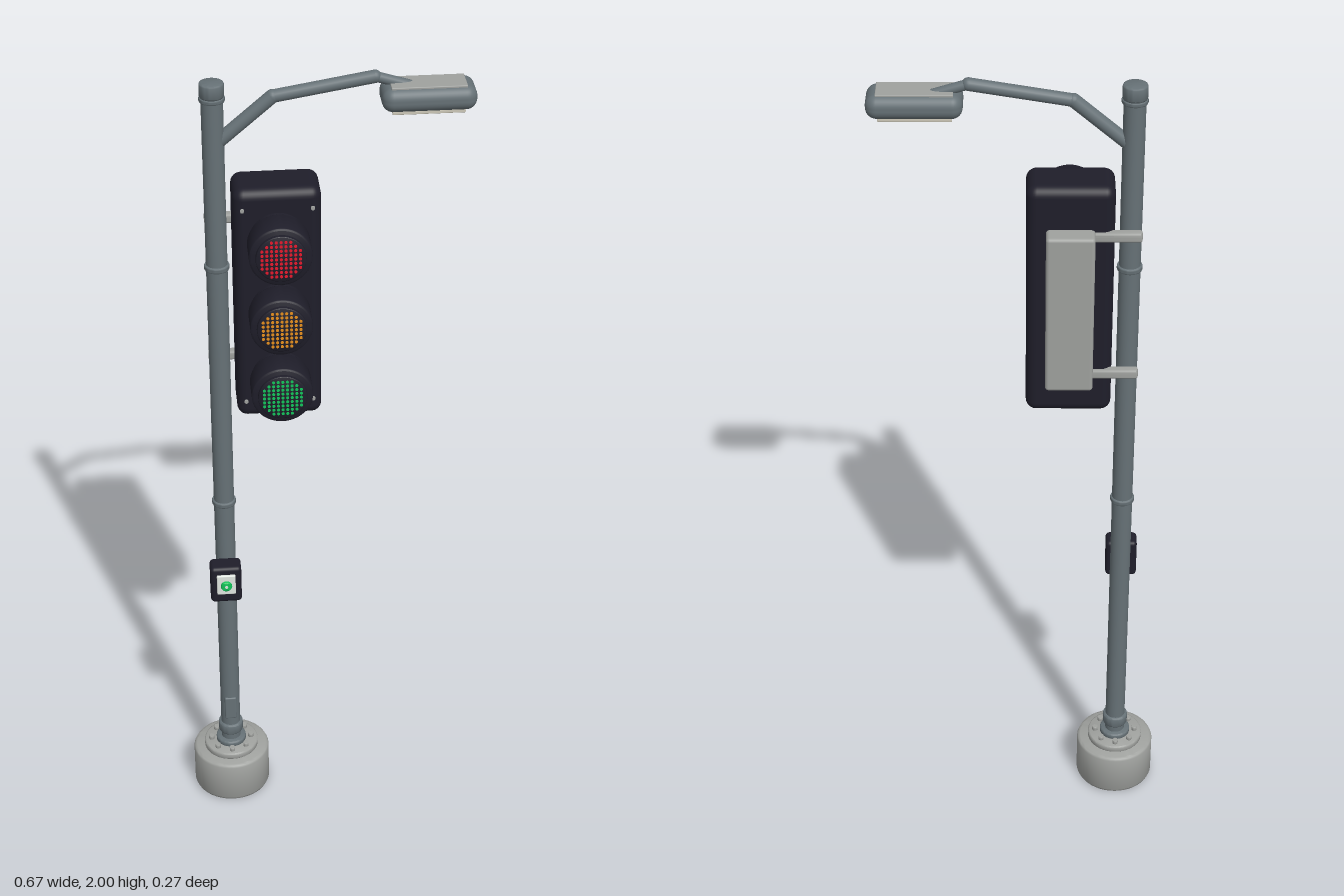
import * as THREE from 'three';
import { mergeGeometries, toCreasedNormals } from 'three/addons/utils/BufferGeometryUtils.js';
import { RoundedBoxGeometry } from 'three/addons/geometries/RoundedBoxGeometry.js';

const mat = (name, color) => new THREE.MeshStandardMaterial({ name, color });

export function createModel() {
  const model = new THREE.Group();
  model.name = 'trafficLight';
  const steel = mat('steel', 0x667176);
  const pale = mat('paleGrey', 0x9fa19e);
  const dark = mat('darkHousing', 0x1f1e2a);
  const red = mat('redLamp', 0xe8182c);
  const amber = mat('amberLamp', 0xf2961e);
  const green = mat('greenLamp', 0x12c45a);
  const diffuser = mat('diffuser', 0xcdc8b8);
  const white = mat('whitePlate', 0xe6ece6);

  const PX = -0.239, PZ = -0.038; // pole axis
  const SX = -0.105; // signal centre

  const add = (name, geo, material, x = 0, y = 0, z = 0, parent = model) => {
    const m = new THREE.Mesh(geo, material);
    m.name = name;
    m.position.set(x, y, z);
    parent.add(m);
    return m;
  };
  const box = (w, h, d, r) => new RoundedBoxGeometry(w, h, d, 4, r);
  // Disc or drum with bevelled rims, standing on its own origin
  const drum = (r, h, b, seg = 40) => toCreasedNormals(new THREE.LatheGeometry(
    [[0, 0], [r - b, 0], [r - b * 0.3, b * 0.3], [r, b], [r, h - b], [r - b * 0.3, h - b * 0.3], [r - b, h], [0, h]]
      .map(([x, y]) => new THREE.Vector2(x, y)), seg), 0.9);
  const drumZ = (r, h, b, seg) => drum(r, h, b, seg).rotateX(Math.PI / 2);

  // Footing, flange and bolts
  add('footing', drum(0.097, 0.117, 0.008, 48), pale, PX, 0, PZ);
  add('flange', drum(0.069, 0.018, 0.003), pale, PX, 0.115, PZ);
  add('flangeCollar', drum(0.038, 0.016, 0.003), steel, PX, 0.13, PZ);
  for (let i = 0; i < 8; i++) {
    const a = i * Math.PI / 4;
    add('bolt', drum(0.007, 0.013, 0.001, 12), pale, PX + 0.051 * Math.cos(a), 0.131, PZ + 0.051 * Math.sin(a));
  }

  // Pole with rings and cap
  add('pole', new THREE.CylinderGeometry(0.0245, 0.0245, 1.83, 32), steel, PX, 1.05, PZ);
  [[0.165, 0.03, 0.031], [0.882, 0.014, 0.029], [1.528, 0.014, 0.029], [1.94, 0.012, 0.029]]
    .forEach(([y, h, r]) => add('poleRing', drum(r, h, 0.004, 32), steel, PX, y, PZ));
  add('poleCap', drum(0.0275, 0.034, 0.004, 32), steel, PX, 1.95, PZ);
  add('accessHatch', box(0.03, 0.068, 0.014, 0.004), steel, PX, 0.252, PZ + 0.02);

  // Signal housing with corner screws
  const signal = new THREE.Group();
  signal.name = 'signalHead';
  model.add(signal);
  add('housing', box(0.196, 0.585, 0.118, 0.024), dark, SX, 1.4625, -0.025, signal);
  for (const sx of [-1, 1]) for (const sy of [-1, 1])
    add('screw', drumZ(0.005, 0.005, 0.001, 10), pale, SX + sx * 0.078, 1.4625 + sy * 0.247, 0.033, signal);

  // Lamps: collar, hood, lens disc and a round grid of diodes
  const dots = [];
  for (let i = -4; i <= 4; i++) for (let j = -4; j <= 4; j++) {
    if (Math.hypot(i, j) > 4.5) continue;
    dots.push(new THREE.CylinderGeometry(0.0036, 0.0036, 0.003, 8)
      .rotateX(Math.PI / 2).translate(i * 0.0105, j * 0.0105, 0));
  }
  const diodes = mergeGeometries(dots);
  [['red', red, 1.637], ['amber', amber, 1.459], ['green', green, 1.281]].forEach(([name, m, y]) => {
    const lamp = new THREE.Group();
    lamp.name = name + 'Lamp';
    lamp.position.set(SX, y, 0);
    signal.add(lamp);
    add('collar', drumZ(0.064, 0.03, 0.002), dark, 0, 0, 0.025, lamp);
    add('hood', drumZ(0.07, 0.072, 0.004, 48), dark, 0, 0, 0.05, lamp);
    add('lens', drumZ(0.056, 0.01, 0.002), dark, 0, 0, 0.12, lamp);
    add('diodes', diodes, m, 0, 0, 0.1305, lamp);
  });

  // Rear cabinet and the two rods that clamp it to the pole
  add('rearCabinet', box(0.108, 0.398, 0.05, 0.008), pale, SX, 1.456, -0.102);
  for (const y of [1.637, 1.278])
    add('bracket', drum(0.0135, 0.114, 0.004, 24).rotateZ(-Math.PI / 2), pale, -0.263, y, -0.079);

  // Pedestrian button
  const BX = -0.2425;
  add('buttonBox', box(0.076, 0.103, 0.05, 0.01), dark, BX, 0.682, 0.007);
  add('buttonPlate', box(0.046, 0.056, 0.008, 0.003), white, BX, 0.688, 0.035);
  add('buttonRing', drumZ(0.014, 0.008, 0.003, 24), green, BX, 0.688, 0.038);
  add('buttonCentre', drumZ(0.004, 0.002, 0.0005, 12), white, BX, 0.688, 0.0455);

  // Street lamp arm in three straight lengths
  const pts = [[PX, 1.834], [-0.108, 1.946], [0.115, 1.983], [0.2, 1.957]].map(([x, y]) => new THREE.Vector3(x, y, PZ));
  [0.0155, 0.0145, 0.0115].forEach((r, i) => {
    const dir = pts[i + 1].clone().sub(pts[i]);
    const mid = pts[i].clone().add(pts[i + 1]).multiplyScalar(0.5);
    const seg = add('lampArm', new THREE.CylinderGeometry(r, r, dir.length(), 20), steel, mid.x, mid.y, mid.z);
    seg.quaternion.setFromUnitVectors(new THREE.Vector3(0, 1, 0), dir.normalize());
    add('armJoint', new THREE.SphereGeometry(r, 20, 12), steel, pts[i + 1].x, pts[i + 1].y, PZ);
  });

  // Street lamp head with top plate and diffuser
  add('lampHead', box(0.208, 0.055, 0.094, 0.0245), steel, 0.231, 1.94, -0.0325);
  add('lampTopPlate', box(0.166, 0.008, 0.064, 0.002), pale, 0.23, 1.966, -0.0325);
  add('lampDiffuser', box(0.16, 0.009, 0.064, 0.002), diffuser, 0.23, 1.911, -0.0325);

  return model;
}
